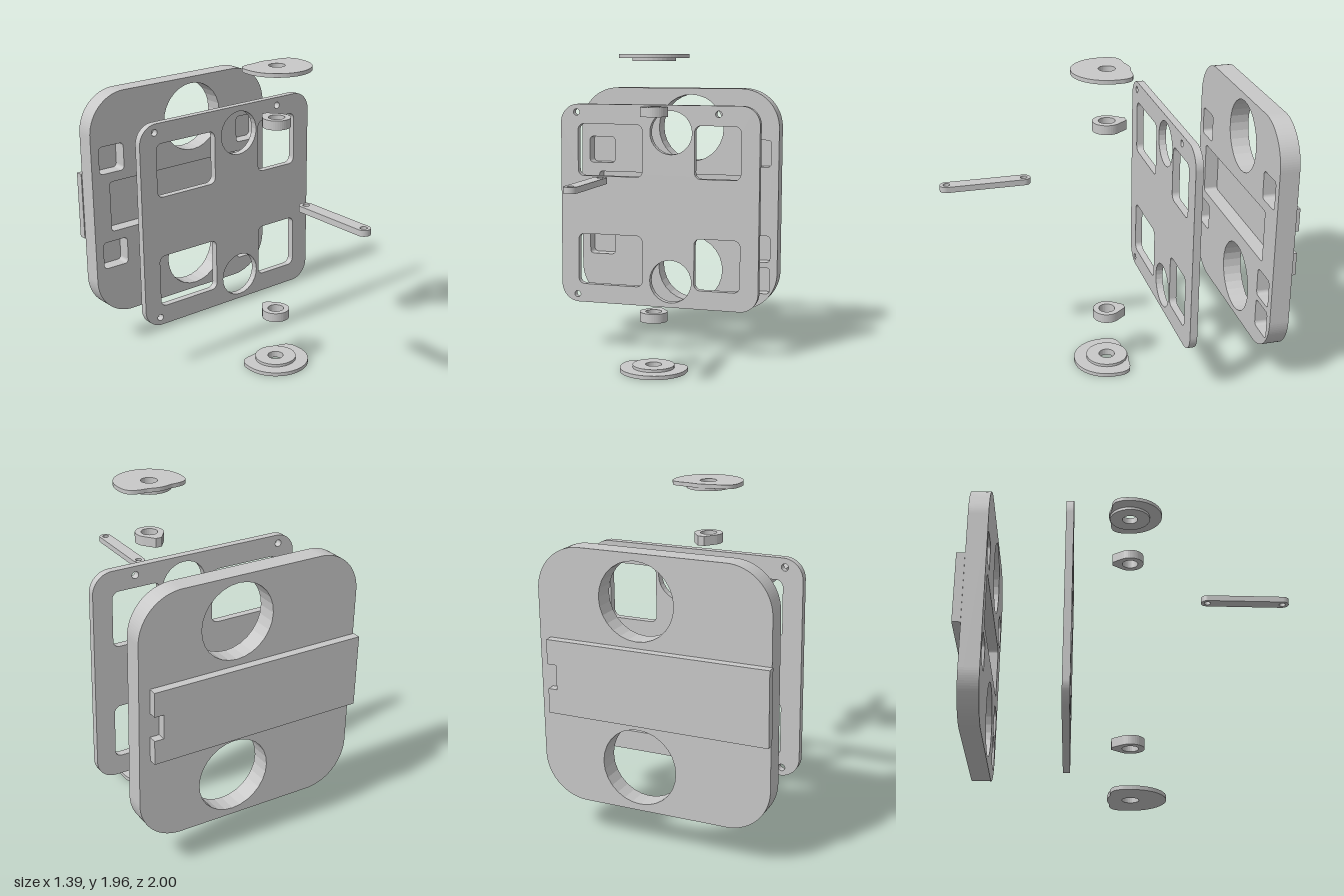
import * as THREE from 'three';

const grey = new THREE.MeshStandardMaterial({ color: 0xc8c8c8 });
grey.name = 'lightGrey';

// Traces a rounded rectangle onto a Shape or Path
function roundRect(path, x0, y0, x1, y1, r) {
  path.moveTo(x0 + r, y0);
  path.lineTo(x1 - r, y0);
  path.absarc(x1 - r, y0 + r, r, -Math.PI / 2, 0, false);
  path.lineTo(x1, y1 - r);
  path.absarc(x1 - r, y1 - r, r, 0, Math.PI / 2, false);
  path.lineTo(x0 + r, y1);
  path.absarc(x0 + r, y1 - r, r, Math.PI / 2, Math.PI, false);
  path.lineTo(x0, y0 + r);
  path.absarc(x0 + r, y0 + r, r, Math.PI, Math.PI * 1.5, false);
  return path;
}

function circle(path, x, y, r) {
  path.absarc(x, y, r, 0, Math.PI * 2, false);
  return path;
}

const hole = (x, y, r) => circle(new THREE.Path(), x, y, r);
const slot = (x0, y0, x1, y1, r) => roundRect(new THREE.Path(), x0, y0, x1, y1, r);

function extrude(name, shape, depth) {
  const geometry = new THREE.ExtrudeGeometry(shape, { depth, bevelEnabled: false, curveSegments: 14 });
  const mesh = new THREE.Mesh(geometry, grey);
  mesh.name = name;
  return mesh;
}

// Upright plate spanning z0..z1
function upright(name, shape, z0, z1) {
  const mesh = extrude(name, shape, z1 - z0);
  mesh.position.z = z0;
  return mesh;
}

// Flat part spanning y0..y1; its shape is drawn in (x, -z)
function flat(name, shape, y0, y1) {
  const mesh = extrude(name, shape, y1 - y0);
  mesh.rotation.x = -Math.PI / 2;
  mesh.position.y = y0;
  return mesh;
}

const CX = 0.093, CZ = -0.022; // shared axis of knobs and collars, in (x, -z)

function backHousing() {
  const group = new THREE.Group();
  group.name = 'backHousing';
  const outline = () => {
    const s = roundRect(new THREE.Shape(), -0.692, 0.231, 0.696, 1.726, 0.26);
    s.holes.push(hole(CX, 1.459, 0.225), hole(CX, 0.495, 0.225));
    return s;
  };
  // Floor of the pockets, then the pocketed front layer
  group.add(upright('housingFloor', outline(), -0.95, -0.92));
  const front = outline();
  front.holes.push(
    slot(-0.565, 0.811, 0.515, 1.146, 0.02),
    slot(-0.635, 1.208, -0.452, 1.388, 0.025),
    slot(-0.635, 0.565, -0.452, 0.745, 0.025),
    slot(0.463, 1.208, 0.645, 1.388, 0.025),
    slot(0.463, 0.565, 0.645, 0.745, 0.025),
    slot(0.463, 0.35, 0.645, 0.53, 0.025),
  );
  group.add(upright('housingPockets', front, -0.92, -0.83));

  // Notched strip across the back
  const strip = new THREE.Shape([
    [-0.698, 0.761], [0.63, 0.761], [0.63, 0.906], [0.575, 0.906],
    [0.575, 1.051], [0.63, 1.051], [0.63, 1.196], [-0.698, 1.196],
  ].map(([x, y]) => new THREE.Vector2(x, y)));
  group.add(upright('backStrip', strip, -1, -0.95));
  return group;
}

function frontPlate() {
  const s = roundRect(new THREE.Shape(), -0.655, 0.324, 0.671, 1.634, 0.12);
  for (const y of [1.458, 0.494]) s.holes.push(hole(CX, y, 0.14));
  for (const [y0, y1] of [[1.167, 1.506], [0.447, 0.783]]) {
    s.holes.push(slot(-0.537, y0, -0.098, y1, 0.04), slot(0.25, y0, 0.551, y1, 0.04));
  }
  for (const [x, y] of [[-0.547, 1.581], [0.406, 1.581], [-0.547, 0.375]]) s.holes.push(hole(x, y, 0.021));
  return upright('frontPlate', s, -0.385, -0.34);
}

// Cam-shaped flange: round towards the front, shouldered behind
function flangeShape() {
  const s = new THREE.Shape();
  s.moveTo(CX - 0.21, CZ);
  s.absarc(CX, CZ, 0.21, Math.PI, Math.PI * 2, false);
  s.splineThru([
    [0.298, 0.038], [0.273, 0.08], [0.228, 0.098], [0.173, 0.102], [0.133, 0.111], [0.093, 0.116],
    [0.053, 0.111], [0.013, 0.102], [-0.042, 0.098], [-0.087, 0.08], [-0.112, 0.038], [CX - 0.21, CZ],
  ].map(([x, y]) => new THREE.Vector2(x, y)));
  s.holes.push(hole(CX, CZ, 0.05));
  return s;
}

function bossShape() {
  const s = circle(new THREE.Shape(), CX, CZ, 0.131);
  s.holes.push(hole(CX, CZ, 0.05));
  return s;
}

// Collar with a blunt tip at the back
function collarShape() {
  const s = new THREE.Shape();
  s.moveTo(CX + 0.02, 0.092);
  s.lineTo(CX - 0.02, 0.092);
  s.absarc(CX, CZ, 0.086, Math.PI * 0.78, Math.PI * 2.22, false);
  s.closePath();
  s.holes.push(hole(CX, CZ, 0.05));
  return s;
}

function armShape() {
  const s = roundRect(new THREE.Shape(), -0.126, -1, -0.046, -0.453, 0.0399);
  s.holes.push(hole(-0.086, -0.493, 0.02), hole(-0.086, -0.96, 0.02));
  return s;
}

export function createModel() {
  const model = new THREE.Group();
  model.name = 'explodedAssembly';
  model.add(
    backHousing(),
    frontPlate(),
    flat('upperFlange', flangeShape(), 1.932, 1.956),
    flat('upperBoss', bossShape(), 1.914, 1.932),
    flat('lowerFlange', flangeShape(), 0, 0.024),
    flat('lowerBoss', bossShape(), 0.024, 0.042),
    flat('upperCollar', collarShape(), 1.581, 1.639),
    flat('lowerCollar', collarShape(), 0.32, 0.378),
    flat('linkArm', armShape(), 1.217, 1.253),
  );
  return model;
}
